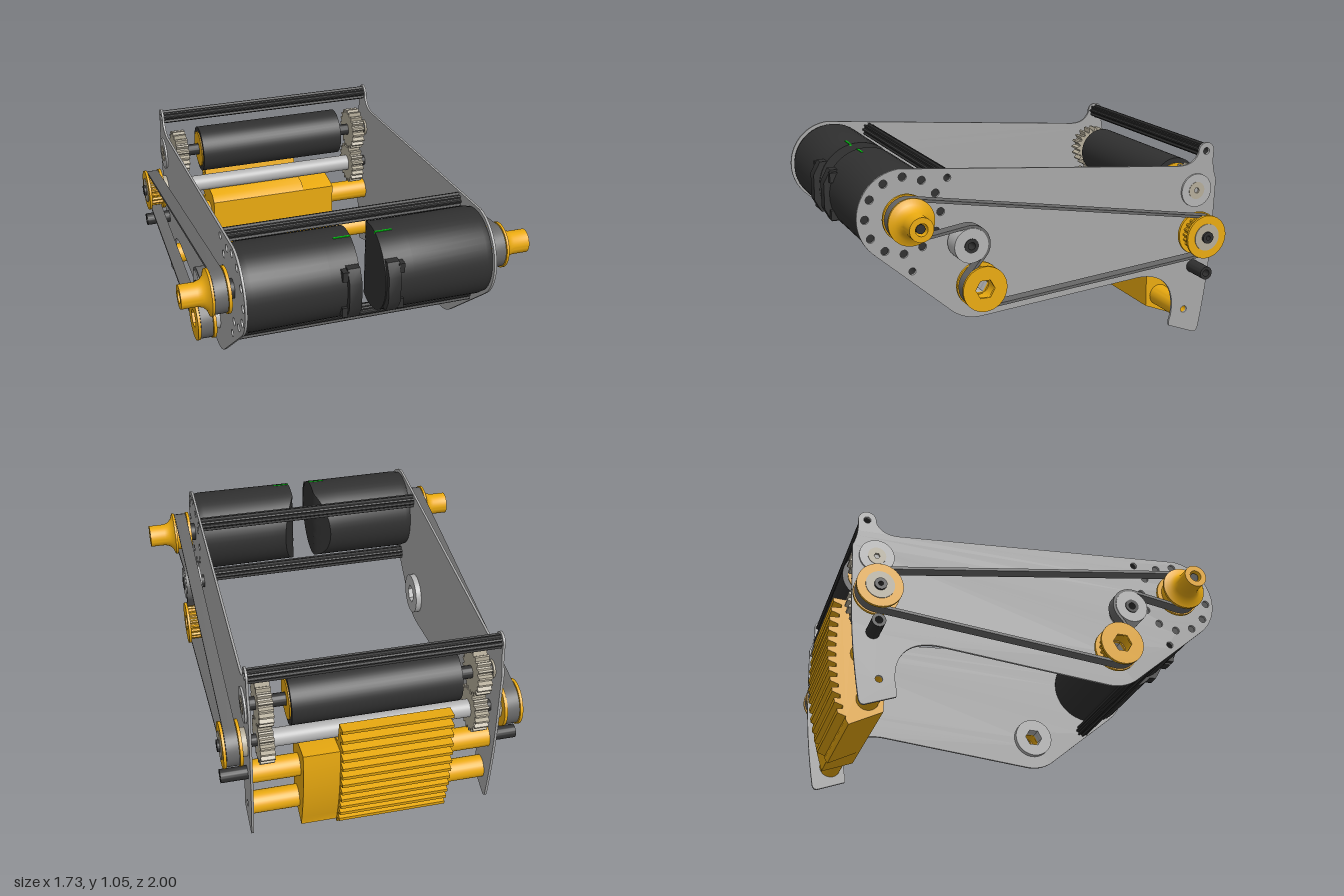
import * as THREE from 'three';
import { toCreasedNormals } from 'three/addons/utils/BufferGeometryUtils.js';

const mat = (color) => new THREE.MeshStandardMaterial({ color, side: THREE.DoubleSide });
const YELLOW = mat(0xeaaa10), DARK = mat(0x303030), PLATE = mat(0xa8a8a8), BELT = mat(0x686868),
  STEEL = mat(0xb4b4b4), GEAR = mat(0xb5ad9a), GREEN = mat(0x00c010);

// Side-on positions as [z, y]
const FRONT = [0.76, 0.83], IDLER = [0.465, 0.68], LOWER = [0.4, 0.46], BACK = [-0.825, 0.57], ROLLER = [-0.825, 0.79];
const BARS = [[0.54, 0.99], [0.72, 0.555], [-0.88, 0.99]];
const POST = [-0.825, 0.38], FOOT = [-0.785, 0.145];

export function createModel() {
  const group = new THREE.Group();

  const add = (name, geo, material) => {
    const mesh = new THREE.Mesh(toCreasedNormals(geo, 0.6), material);
    mesh.name = name;
    group.add(mesh);
    return mesh;
  };
  // Extrude a (z, y) shape along x from x0 to x1
  const slab = (name, shape, x0, x1, material) => {
    const geo = new THREE.ExtrudeGeometry(shape, { depth: x1 - x0, bevelEnabled: false, curveSegments: 16 });
    geo.rotateY(-Math.PI / 2);
    geo.translate(x1, 0, 0);
    return add(name, geo, material);
  };
  const pair = (name, shape, x0, x1, material) => {
    slab(name + 'Left', shape, x0, x1, material);
    slab(name + 'Right', shape, -x1, -x0, material);
  };
  // Turned part about the x axis, profile of [radius, x], on side s
  const turned = (profile, [z, y], s, segments = 40) => {
    const geo = new THREE.LatheGeometry(profile.map((p) => new THREE.Vector2(...p)), segments);
    geo.rotateZ(-s * Math.PI / 2);
    return geo.translate(0, y, z);
  };
  const polygon = ([z, y], n, radius) => Array.from({ length: n }, (_, i) => {
    const a = (i / n) * Math.PI * 2, r = typeof radius === 'function' ? radius(i) : radius;
    return new THREE.Vector2(z + r * Math.cos(a), y + r * Math.sin(a));
  });
  const ring = (c, r, hole = 0, holeSides = 20, sides = 36) => {
    const shape = new THREE.Shape(polygon(c, sides, r));
    if (hole) shape.holes.push(new THREE.Path(polygon(c, holeSides, hole)));
    return shape;
  };
  // Toothed wheel: four points per tooth
  const cog = (c, teeth, rIn, rOut, hole) => {
    const shape = new THREE.Shape(polygon(c, teeth * 4, (i) => (i % 4 < 2 ? rOut : rIn)));
    shape.holes.push(new THREE.Path(polygon(c, 20, hole)));
    return shape;
  };

  // Side plates
  const plate = new THREE.Shape();
  plate.moveTo(0.78, 1.055);
  plate.lineTo(-0.72, 0.925);
  plate.quadraticCurveTo(-0.81, 0.92, -0.835, 0.985);
  plate.absarc(-0.88, 0.99, 0.045, 0, Math.PI, false);
  plate.quadraticCurveTo(-0.915, 0.91, -0.945, 0.84);
  plate.lineTo(-0.935, 0.55);
  plate.quadraticCurveTo(-0.925, 0.3, -0.877, 0.035);
  plate.quadraticCurveTo(-0.868, 0, -0.84, 0.012);
  plate.lineTo(-0.7, 0.065);
  plate.quadraticCurveTo(-0.69, 0.08, -0.705, 0.12);
  plate.bezierCurveTo(-0.73, 0.27, -0.66, 0.365, -0.5, 0.358);
  plate.lineTo(0.36, 0.281);
  plate.quadraticCurveTo(0.45, 0.272, 0.52, 0.325);
  plate.lineTo(0.9, 0.653);
  plate.absarc(...FRONT, 0.225, -0.9, 1.48, false);
  polygon(FRONT, 12, 0.185).forEach((p) => plate.holes.push(new THREE.Path(polygon([p.x, p.y], 14, 0.02))));
  [...BARS.filter((b) => b[1] > 0.9), BARS[1], POST, FOOT].forEach((c) =>
    plate.holes.push(new THREE.Path(polygon(c, 14, 0.018))));
  plate.holes.push(new THREE.Path(polygon(LOWER, 6, 0.05)));
  pair('sidePlate', plate, 0.6, 0.612, PLATE);

  // Grooved cross bars
  BARS.forEach((c, i) => slab('crossBar' + (i + 1), cog(c, 8, 0.028, 0.037, 0.018), -0.6, 0.6, DARK));

  // Front drum halves, inner faces cut back towards the rear
  for (const s of [1, -1]) {
    const profile = [0, 0.04, 0.08, 0.11, 0.14, 0.17, 0.195, 0.213].map((r) => [r, 0.06]);
    profile.push([0.213, 0.2], [0.215, 0.57], [0.208, 0.598], [0, 0.598]);
    const drum = turned(profile, FRONT, s, 48);
    const p = drum.attributes.position;
    for (let i = 0; i < p.count; i++) {
      if (Math.abs(p.getX(i)) < 0.07) p.setX(i, s * (0.06 + Math.max(0, 0.68 - p.getZ(i)) * 0.52));
    }
    add('frontDrum', drum, DARK);

    // Clamp blocks on the inner front of the drum
    const clamp = new THREE.Shape([[0.9, 0.7], [0.965, 0.7], [1, 0.765], [1, 0.895], [0.965, 0.96], [0.9, 0.96]]
      .map((q) => new THREE.Vector2(...q)));
    slab('drumClamp', clamp, s > 0 ? 0.065 : -0.125, s > 0 ? 0.125 : -0.065, DARK);
    for (const y of [0.735, 0.925]) {
      add('clampLug', new THREE.BoxGeometry(0.03, 0.05, 0.07).translate(s * 0.135, y, 0.94), DARK);
    }
    add('marker', new THREE.BoxGeometry(0.085, 0.012, 0.01).translate(s * 0.102, 1.034, 0.805), GREEN);

    // Front drive pulley with its flared hub
    add('frontPulley', turned([[0, 0.64], [0.113, 0.64], [0.113, 0.655], [0.09, 0.655], [0.09, 0.72], [0.113, 0.72],
      [0.113, 0.732], [0.085, 0.742], [0.066, 0.76], [0.058, 0.785], [0.058, 0.865], [0.03, 0.865], [0.03, 0.8], [0, 0.8]],
    FRONT, s), YELLOW);
    add('frontShaft', turned([[0, 0.6], [0.048, 0.6], [0.048, 0.645], [0.022, 0.645], [0.022, 0.85], [0, 0.85]], FRONT, s, 24), DARK);
  }

  // Belt around all four wheels: [centre, belt radius, turning sense]
  const wheels = [[FRONT, 0.1, -1], [IDLER, 0.092, 1], [LOWER, 0.1, -1], [BACK, 0.1, -1]];
  const beltLoop = (t) => {
    const R = wheels.map(([, r, s]) => s * r - t);
    const heading = wheels.map(([c], i) => {
      const j = (i + 1) % wheels.length, d = wheels[j][0];
      const dz = d[0] - c[0], dy = d[1] - c[1];
      return Math.atan2(dy, dz) - Math.asin((R[j] - R[i]) / Math.hypot(dz, dy));
    });
    const points = [];
    wheels.forEach(([c, , s], i) => {
      const a0 = heading[(i + wheels.length - 1) % wheels.length];
      let sweep = (heading[i] - a0) * s;
      while (sweep < 0) sweep += Math.PI * 2;
      while (sweep > Math.PI * 2) sweep -= Math.PI * 2;
      for (let k = 0; k <= 16; k++) {
        const a = a0 + s * sweep * k / 16 - Math.PI / 2;
        points.push(new THREE.Vector2(c[0] + R[i] * Math.cos(a), c[1] + R[i] * Math.sin(a)));
      }
    });
    return points;
  };
  const belt = new THREE.Shape(beltLoop(0.007));
  belt.holes.push(new THREE.Path(beltLoop(-0.007)));
  pair('belt', belt, 0.657, 0.718, BELT);

  // Lower and back pulleys: toothed core between two flanges
  for (const [name, c, hole, sides] of [['lowerPulley', LOWER, 0.05, 6], ['backPulley', BACK, 0.03, 20]]) {
    pair(name + 'InnerFlange', ring(c, 0.113, hole, sides), 0.64, 0.655, YELLOW);
    pair(name + 'Core', cog(c, 20, 0.082, 0.092, hole), 0.655, 0.72, YELLOW);
    pair(name + 'OuterFlange', ring(c, 0.113, hole, sides), 0.72, 0.734, YELLOW);
  }
  pair('lowerBearing', ring(LOWER, 0.11, 0.05, 6), 0.57, 0.6, STEEL);
  pair('lowerSpacer', ring(LOWER, 0.07, 0.05, 6), 0.612, 0.64, STEEL);
  pair('idler', ring(IDLER, 0.085, 0.035), 0.63, 0.722, STEEL);
  pair('idlerBolt', ring(IDLER, 0.035, 0.018), 0.612, 0.727, DARK);
  pair('backBearing', ring(BACK, 0.07, 0.03), 0.612, 0.738, GEAR);
  pair('backHub', ring(BACK, 0.03, 0.012), 0.56, 0.75, DARK);

  // Rear roller, its gears and the driven shaft
  slab('rearRoller', ring(ROLLER, 0.127, 0, 0, 48), -0.41, 0.41, DARK);
  pair('rollerEndCap', ring(ROLLER, 0.1, 0.03), 0.41, 0.416, YELLOW);
  pair('rollerAxle', ring(ROLLER, 0.032), 0.41, 0.605, DARK);
  pair('rollerBearing', ring(ROLLER, 0.087, 0.045), 0.605, 0.622, STEEL);
  pair('rollerBearingCore', ring(ROLLER, 0.045, 0.015, 6), 0.59, 0.624, GEAR);
  slab('drivenShaft', ring(BACK, 0.045), -0.56, 0.56, STEEL);
  for (const [name, c] of [['rollerGear', ROLLER], ['shaftGear', BACK]]) {
    pair(name, cog(c, 20, 0.1, 0.12, 0.03), 0.49, 0.56, GEAR);
  }

  // Rear tubes and outer posts
  pair('upperTube', ring(POST, 0.057, 0.018), 0.3, 0.6, YELLOW);
  pair('lowerTube', ring(FOOT, 0.057, 0.018), 0.3, 0.6, YELLOW);
  pair('post', ring(POST, 0.034, 0.018), 0.612, 0.745, DARK);

  // Rear guard: curved block with a row of ridges, and a plain section beside it
  const tipZ = (y) => -0.998 + 0.42 * (y - 0.46) ** 2;
  const guard = (ridges, shrink) => {
    const points = [[-0.87, 0.005 + shrink], [-0.705, 0.09], [-0.7, 0.49], [-0.74, 0.52 - shrink], [-0.885, 0.535 - shrink]];
    const top = ridges ? 0.665 : 0.54, n = 12, step = (top - 0.02) / n;
    if (ridges) points.push([-0.915, top]);
    for (let i = 0; i < n; i++) {
      const y = top - i * step, z = tipZ(y - step * 0.3);
      if (ridges) points.push([z, y + 0.004], [z + 0.004, y - step * 0.3], [z + 0.045, y - step * 0.55], [z + 0.045, y - step * 0.85]);
      else points.push([z + 0.055, y - step * 0.5]);
    }
    return new THREE.Shape(points.map((p) => new THREE.Vector2(...p)));
  };
  slab('ridgedGuard', guard(true, 0), -0.365, 0.18, YELLOW);
  slab('plainGuard', guard(false, 0.02), 0.18, 0.36, YELLOW);

  return group;
}
